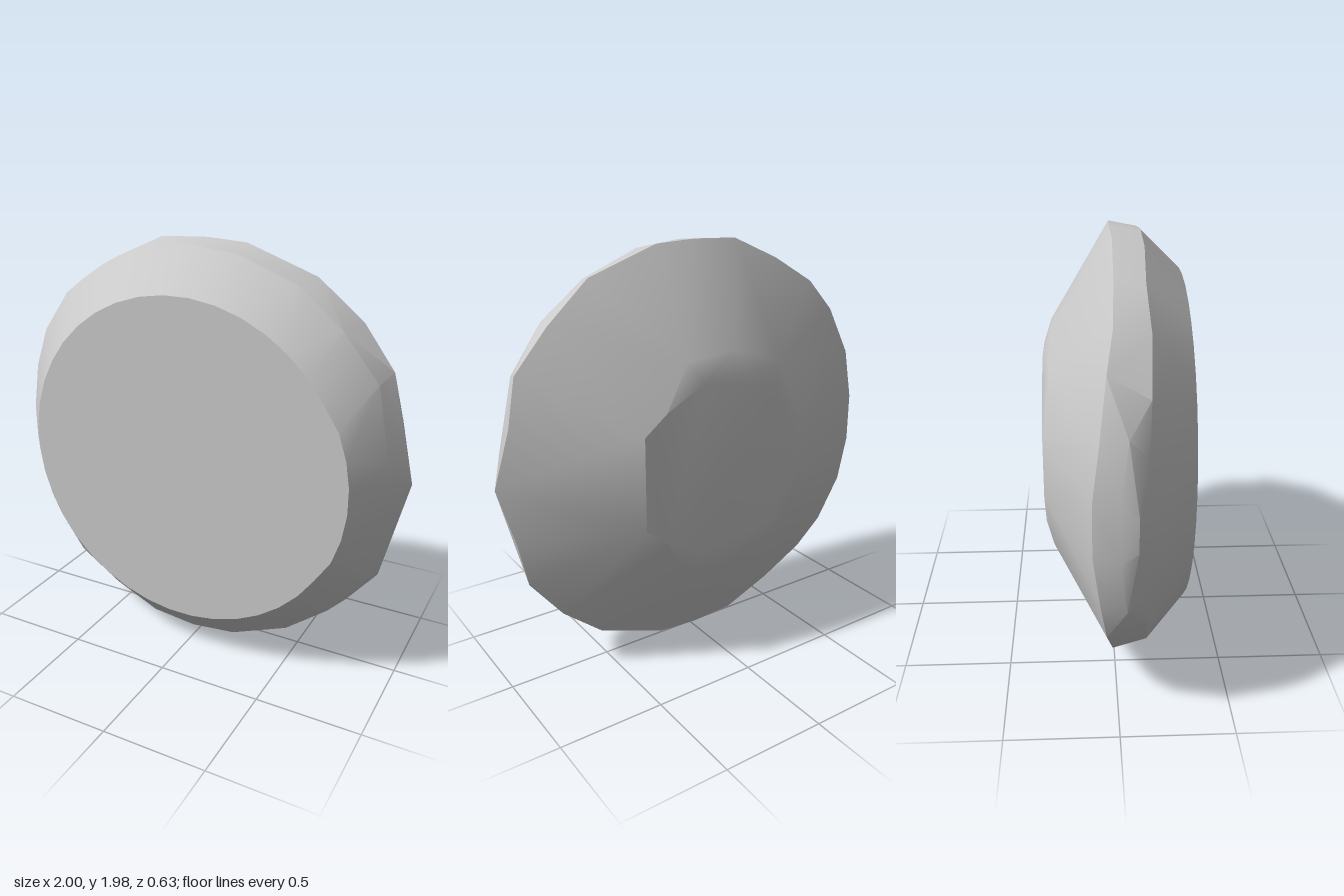
import * as THREE from 'three';
import { ConvexGeometry } from 'three/addons/geometries/ConvexGeometry.js';
import { toCreasedNormals } from 'three/addons/utils/BufferGeometryUtils.js';

const CENTER_Y = 1;

// Upper half of the widest outline: x, height above centre, z
const rim = [
  [1, 0, 0.01], [0.93, 0.27, -0.02], [0.88, 0.49, 0], [0.73, 0.68, -0.02], [0.52, 0.86, 0],
  [0.18, 0.98, -0.005], [-0.02, 0.99, -0.01], [-0.25, 0.98, -0.005], [-0.5, 0.87, -0.01],
  [-0.72, 0.74, -0.02], [-0.84, 0.59, -0.05], [-0.94, 0.36, -0.08], [-0.96, 0.12, -0.11],
];

// Front shoulder of the rim, where it turns in towards the flat face
const shoulder = [
  [0.92, 0.12, 0.13], [0.85, 0.46, 0.11], [0.69, 0.67, 0.13], [0.48, 0.84, 0.12],
  [0.2, 0.95, 0.13], [-0.03, 0.975, 0.13], [-0.26, 0.95, 0.13], [-0.5, 0.85, 0.12],
  [-0.71, 0.7, 0.13], [-0.86, 0.5, 0.12], [-0.94, 0.3, 0.11], [-0.96, 0.08, 0.13],
];

// Bulge on the blunt side
const bulge = [[-1, 0.08, 0.07], [-0.995, 0.13, 0], [-0.96, 0.38, 0.03]];

// Small flat back and the bevel around it
const back = [
  [0.44, 0.22, -0.31], [0.33, 0.31, -0.315], [0.14, 0.41, -0.315],
  [-0.08, 0.42, -0.315], [-0.27, 0.34, -0.315], [-0.42, 0.14, -0.315],
];
const backBevel = [[0.47, 0.25, -0.285], [0.2, 0.51, -0.28], [-0.06, 0.53, -0.28], [-0.32, 0.44, -0.28]];

// Mirrors a half outline across the horizontal centre plane
function mirrored(half) {
  return half.flatMap(([x, h, z]) => [
    new THREE.Vector3(x, CENTER_Y + h, z),
    ...(h ? [new THREE.Vector3(x, CENTER_Y - h, z)] : []),
  ]);
}

// Round front face, drawn out slightly on one side
function frontFace(count = 40) {
  const points = [];
  for (let i = 0; i < count; i++) {
    const a = ((i + 0.5) / count) * Math.PI * 2;
    const c = Math.cos(a);
    const x = 0.8 * c + (c > 0.9 ? 0.015 : 0);
    points.push(new THREE.Vector3(x, CENTER_Y + 0.787 * Math.sin(a), 0.315));
  }
  return points;
}

export function createModel() {
  const group = new THREE.Group();
  group.name = 'facetedStone';
  const points = [rim, shoulder, bulge, back, backBevel].flatMap(mirrored).concat(frontFace());
  const geometry = toCreasedNormals(new ConvexGeometry(points), 0.4);
  const stone = new THREE.Mesh(geometry, new THREE.MeshStandardMaterial({ color: 0xcccccc }));
  stone.name = 'stoneBody';
  group.add(stone);
  return group;
}
